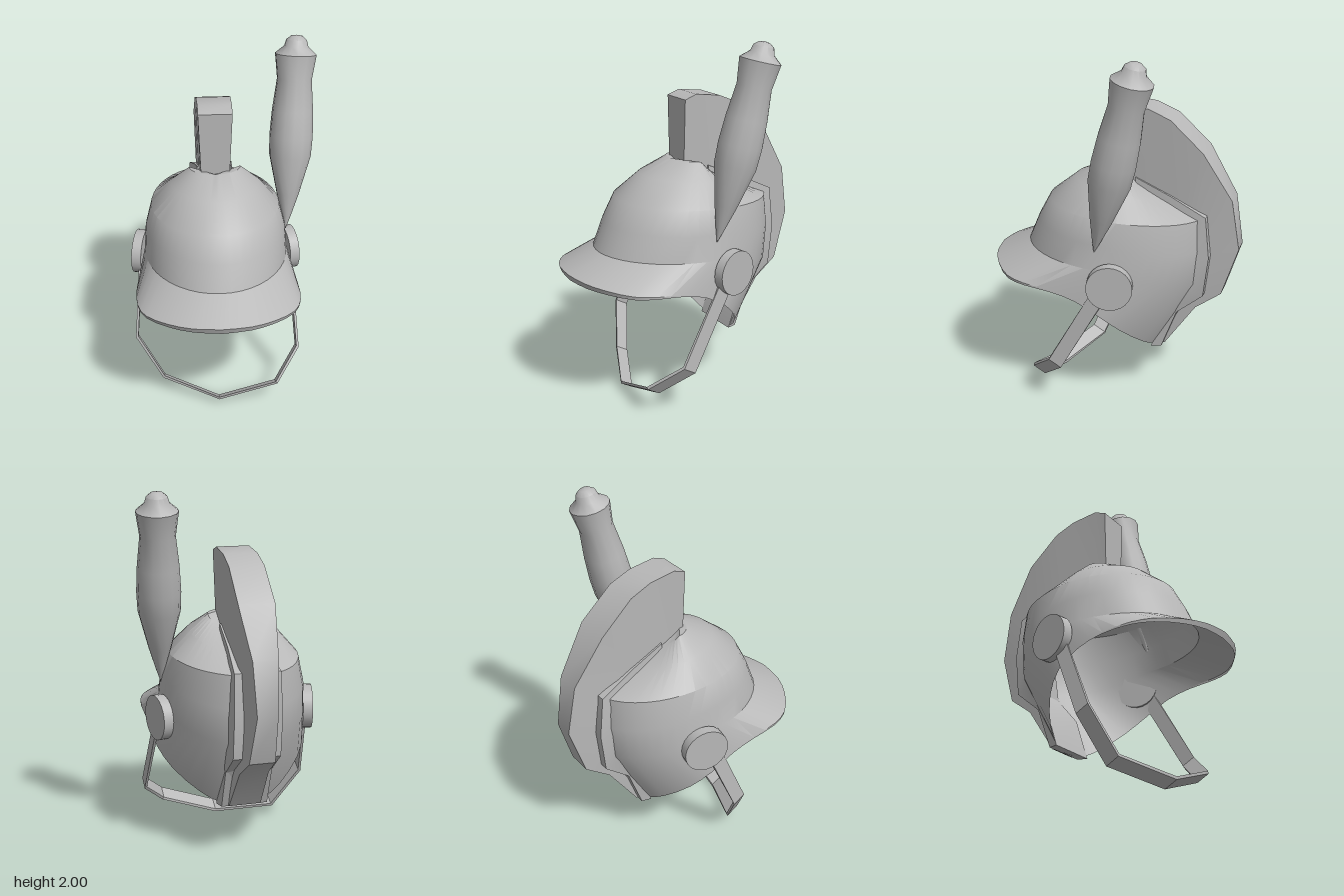
import * as THREE from 'three';
import { toCreasedNormals } from 'three/addons/utils/BufferGeometryUtils.js';

const CX = -0.04; // the helmet's middle plane
const V = (x, y, z) => new THREE.Vector3(x, y, z);

// Skin closed rings of equal length; optionally cap either end
function loft(rings, capStart, capEnd, crease) {
  const n = rings[0].length, pos = [], idx = [];
  rings.forEach(r => r.forEach(p => pos.push(p.x, p.y, p.z)));
  for (let i = 0; i < rings.length - 1; i++) {
    for (let j = 0; j < n; j++) {
      const k = (j + 1) % n, a = i * n, b = a + n;
      idx.push(a + j, a + k, b + k, a + j, b + k, b + j);
    }
  }
  const last = (rings.length - 1) * n;
  for (let j = 1; j < n - 1; j++) {
    if (capStart) idx.push(0, j + 1, j);
    if (capEnd) idx.push(last, last + j, last + j + 1);
  }
  const g = new THREE.BufferGeometry();
  g.setAttribute('position', new THREE.Float32BufferAttribute(pos, 3));
  g.setIndex(idx);
  return toCreasedNormals(g, crease);
}

export function createModel() {
  const group = new THREE.Group();
  const grey = new THREE.MeshStandardMaterial({ color: 0xb8b8b8, side: THREE.DoubleSide });
  grey.name = 'helmet grey';
  const add = (name, geometry) => {
    const m = new THREE.Mesh(geometry, grey);
    m.name = name;
    group.add(m);
    return m;
  };

  // Shell: rim of peak and neck guard, then rings up to the crown
  const N = 22;
  const mirrorRing = half => [
    ...half.map(p => V(CX + p.x, p.y, p.z)),
    ...half.slice(1, -1).reverse().map(p => V(CX - p.x, p.y, p.z)),
  ];
  const rimCurve = new THREE.CatmullRomCurve3([
    [0, .735, .69], [.15, .735, .67], [.28, .73, .61], [.395, .72, .51], [.44, .715, .40], [.45, .70, .24],
    [.445, .66, .1], [.43, .58, -.03], [.365, .48, -.13], [.23, .36, -.22], [.12, .30, -.26], [0, .29, -.29],
  ].map(p => V(...p)));
  const rim = [], lip = [];
  for (let i = 0; i <= N; i++) {
    const p = rimCurve.getPoint(i / N), f = Math.max(0, 1 - i / 13);
    rim.push(p);
    lip.push(V(p.x, p.y + .035 * f, p.z + .012 * f));
  }
  // half width, centre z, front z, back z, then y at front, side and back
  const domeRings = [
    [.40, 0, .51, -.51, .86, .84, .70],
    [.39, -.02, .45, -.53, 1.0, .98, .9],
    [.355, -.03, .38, -.52, 1.13, 1.11, 1.08],
    [.245, -.06, .23, -.30, 1.25, 1.23, 1.17],
    [.14, -.05, .06, -.13, 1.325, 1.32, 1.25],
  ].map(([w, zc, zf, zb, yf, ys, yb]) => Array.from({ length: N + 1 }, (_, i) => {
    const t = i / N * Math.PI, c = Math.cos(t), a = Math.abs(c);
    return V(w * Math.sin(t), ys + ((c > 0 ? yf : yb) - ys) * a, zc + ((c > 0 ? zf : zb) - zc) * a);
  }));
  add('helmetShell', loft([rim, lip, ...domeRings].map(mirrorRing), false, true, .5));

  // Ridge sections: outer z, y, half width, then inner z, y, half width
  const ridge = (name, rows) => add(name, loft(rows.map(([oz, oy, ow, iz, iy, iw]) => [
    V(CX - iw, iy, iz), V(CX - ow, oy, oz), V(CX + ow, oy, oz), V(CX + iw, iy, iz),
  ]), true, true, .5));

  ridge('crest', [
    [.02, 1.66, .092, .02, 1.28, .077],
    [-.05, 1.685, .092, -.05, 1.26, .08],
    [-.20, 1.665, .094, -.16, 1.18, .085],
    [-.32, 1.615, .096, -.25, 1.12, .088],
    [-.50, 1.45, .098, -.38, 1.08, .09],
    [-.66, 1.19, .068, -.49, 1.02, .09],
    [-.705, .91, .055, -.49, .86, .09],
    [-.62, .64, .07, -.46, .67, .09],
    [-.48, .54, .08, -.33, .51, .095],
    [-.31, .295, .09, -.25, .295, .10],
  ]);
  ridge('crestBase', [
    [-.13, 1.28, .095, -.13, 1.2, .10],
    [-.33, 1.195, .105, -.30, 1.1, .11],
    [-.53, 1.10, .125, -.47, 1.02, .135],
    [-.555, .87, .13, -.48, .86, .145],
    [-.53, .64, .13, -.45, .67, .145],
    [-.385, .52, .13, -.32, .52, .145],
    [-.30, .292, .13, -.245, .292, .145],
  ]);

  // Ear discs, turned slightly to the back
  for (const s of [1, -1]) {
    const g = new THREE.CylinderGeometry(.125, .125, .055, 24).rotateZ(-s * Math.PI / 2);
    const disc = add(s > 0 ? 'leftEarDisc' : 'rightEarDisc', g);
    disc.position.set(CX + s * .425, .765, -.085);
    disc.rotation.y = s * .23;
  }

  // Chin strap: flat band hanging forward
  const w = V(0, .02, .035);
  const strap = [
    [.40, .70, -.02], [.425, .27, .22], [.29, .13, .37], [-.04, .02, .36],
    [-.36, .08, .22], [-.51, .32, .14], [-.48, .70, -.02],
  ].map(([x, y, z]) => {
    const p = V(x, y, z);
    const q = p.clone().add(V(CX - x, .55 - y, 0).normalize().multiplyScalar(.016));
    return [p.clone().add(w), q.clone().add(w), q.clone().sub(w), p.clone().sub(w)];
  });
  add('chinStrap', loft(strap, true, true, .2));

  // Side plume, leaning back
  const profile = [
    [0, 0], [.025, .08], [.062, .21], [.115, .43], [.119, .54], [.112, .68],
    [.094, .85], [.112, .985], [.065, 1.025], [.055, 1.06], [.03, 1.08], [0, 1.085],
  ].map(p => new THREE.Vector2(...p));
  const plume = add('sidePlume', toCreasedNormals(new THREE.LatheGeometry(profile, 14), .7));
  const base = V(.355, .94, .01);
  plume.position.copy(base);
  plume.quaternion.setFromUnitVectors(V(0, 1, 0), V(.41, 2, -.235).sub(base).normalize());

  return group;
}
